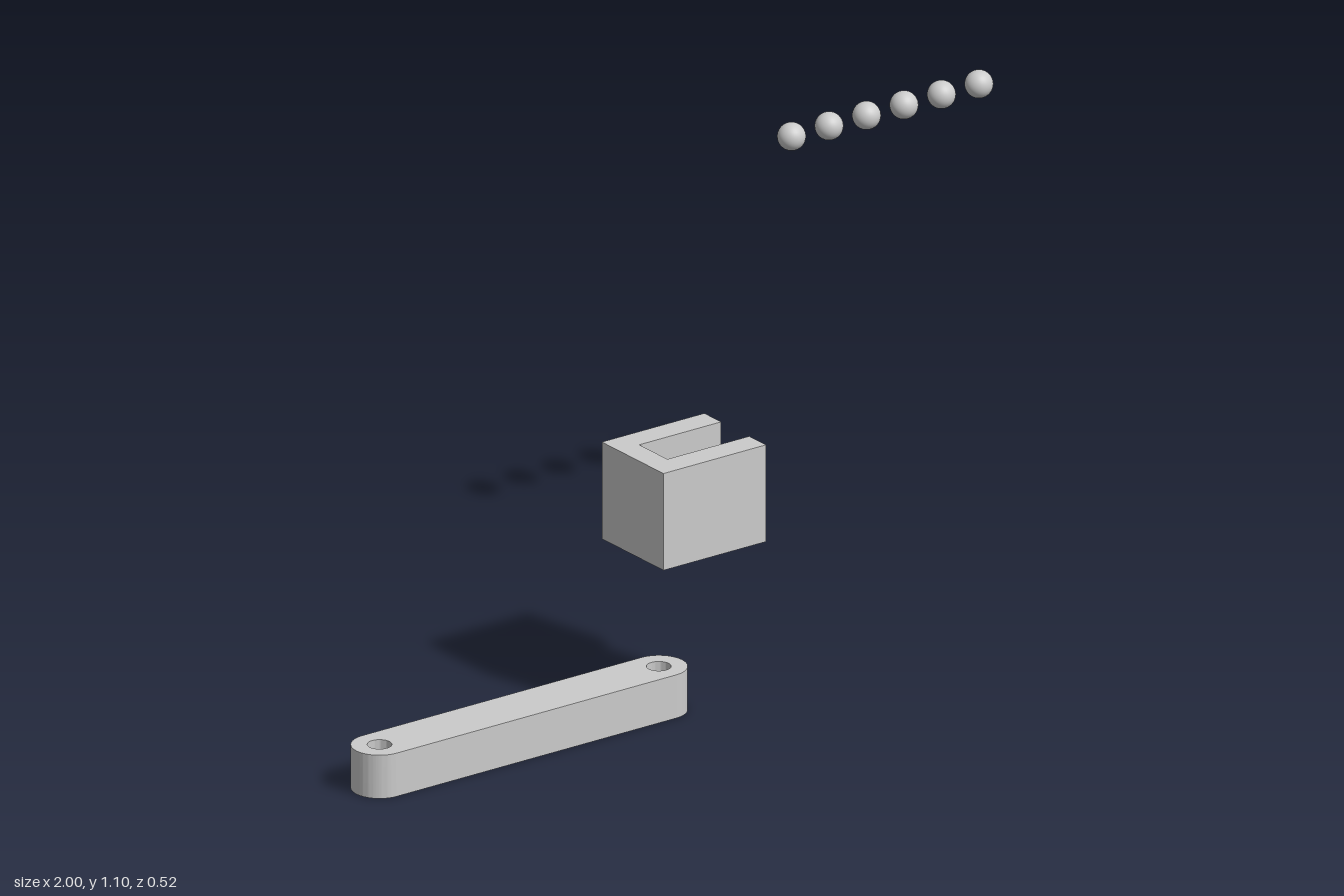
import * as THREE from 'three';
import { toCreasedNormals } from 'three/addons/utils/BufferGeometryUtils.js';

const material = new THREE.MeshStandardMaterial({ color: 0xcccccc });
const MID_Z = 0.149;

// Extrude a plan outline upwards, drawn in x and -z about the shared centre line
function addPrism(group, name, shape, bottom, height) {
  const flat = new THREE.ExtrudeGeometry(shape, { depth: height, bevelEnabled: false, curveSegments: 32 });
  flat.rotateX(-Math.PI / 2);
  const mesh = new THREE.Mesh(toCreasedNormals(flat, 0.6), material);
  mesh.name = name;
  mesh.position.set(0, bottom, MID_Z);
  group.add(mesh);
}

export function createModel() {
  const model = new THREE.Group();
  model.name = 'linkageParts';

  // Link bar: rounded ends with a pin hole at each
  const r = 0.063, x0 = -1 + r, x1 = -0.117 - r;
  const bar = new THREE.Shape();
  bar.moveTo(x0, -r);
  bar.lineTo(x1, -r);
  bar.absarc(x1, 0, r, -Math.PI / 2, Math.PI / 2, false);
  bar.lineTo(x0, r);
  bar.absarc(x0, 0, r, Math.PI / 2, Math.PI * 1.5, false);
  for (const x of [x0, x1]) {
    bar.holes.push(new THREE.Path().absarc(x, 0, 0.027, 0, Math.PI * 2, true));
  }
  addPrism(model, 'linkBar', bar, 0, 0.102);

  // Clevis: U-shaped block open towards +x
  const back = -0.251, web = -0.195, front = 0.027, outer = 0.113, inner = 0.0515;
  const clevis = new THREE.Shape([
    [back, -outer], [front, -outer], [front, -inner], [web, -inner],
    [web, inner], [front, inner], [front, outer], [back, outer],
  ].map(([x, y]) => new THREE.Vector2(x, y)));
  addPrism(model, 'clevisBlock', clevis, 0.382, 0.228);

  // Row of six balls
  const balls = new THREE.Group();
  balls.name = 'ballRow';
  const sphere = new THREE.SphereGeometry(0.0315, 32, 20);
  for (let i = 0; i < 6; i++) {
    const ball = new THREE.Mesh(sphere, material);
    ball.name = `ball${i + 1}`;
    ball.position.set(0.4605 + i * 0.1016, 1.069, -0.231);
    balls.add(ball);
  }
  model.add(balls);
  return model;
}
